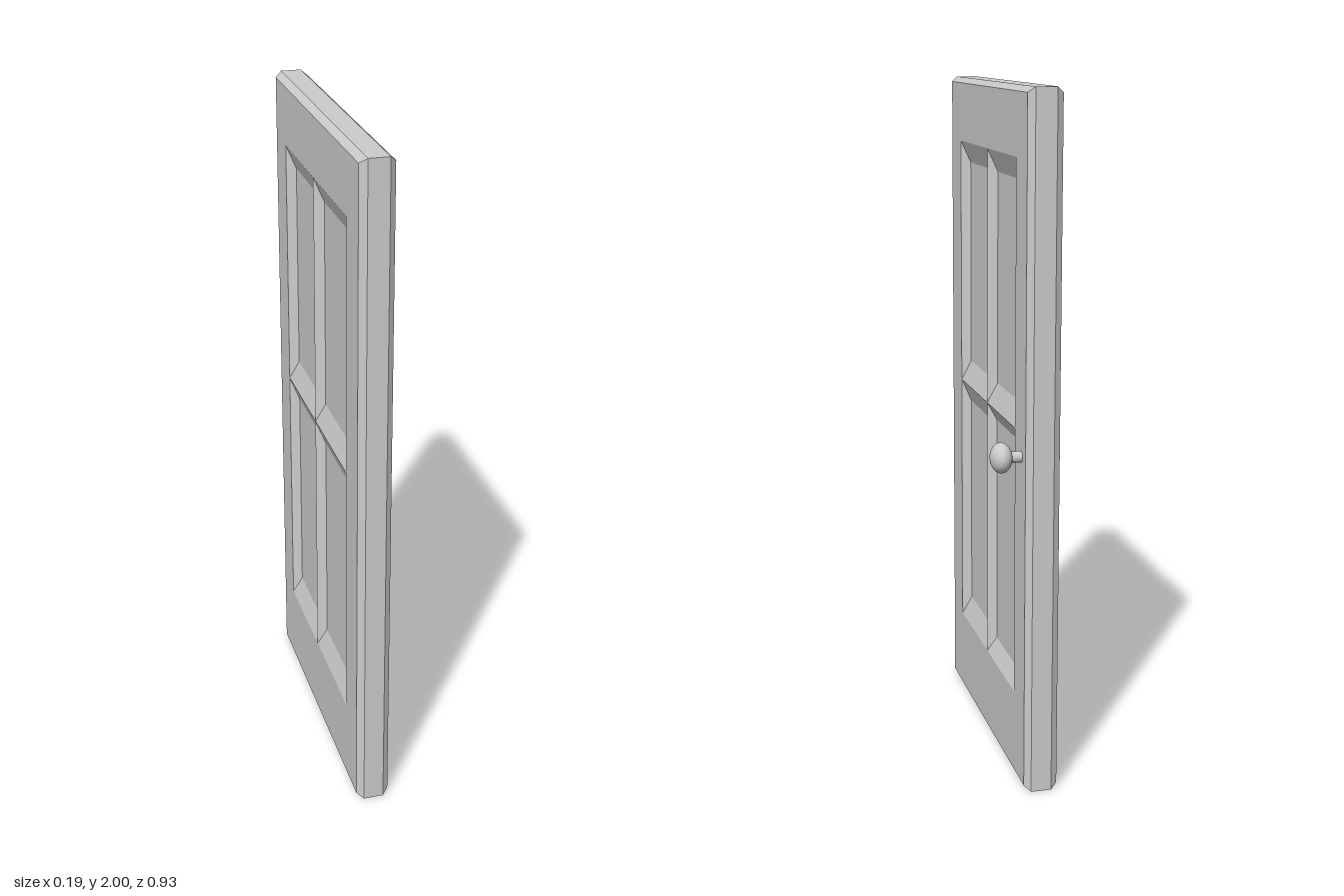
import * as THREE from 'three';

const rect = (x, z0, z1, y0, y1) => ({ x, z0, z1, y0, y1 });
const inset = (r, x, dz, dy) => rect(x, r.z0 + dz, r.z1 - dz, r.y0 + dy, r.y1 - dy);

// Corners run counter-clockwise as seen from +x.
const corners = (r) => [
  [r.x, r.y0, r.z1], [r.x, r.y0, r.z0], [r.x, r.y1, r.z0], [r.x, r.y1, r.z1],
];

export function createModel() {
  const group = new THREE.Group();
  const material = new THREE.MeshStandardMaterial({ color: 0xcccccc });
  const flat = new THREE.MeshStandardMaterial({ color: 0xcccccc, flatShading: true });

  const positions = [];
  const quad = (a, b, c, d) => positions.push(...a, ...b, ...c, ...a, ...c, ...d);
  const loft = (from, to) => {
    const a = corners(from), b = corners(to);
    for (let i = 0; i < 4; i++) {
      const j = (i + 1) % 4;
      quad(a[i], a[j], b[j], b[i]);
    }
  };

  // Slab cross-sections from the -x face to the +x face, with chamfered rims
  const xBack = -0.095, xFront = 0.003, depth = 0.025;
  const outline = rect(0, -0.464, 0.464, 0, 2);
  const sections = [
    inset(outline, xBack, 0.015, 0.015),
    inset(outline, -0.075, 0, 0),
    inset(outline, -0.015, 0, 0),
    inset(outline, xFront, 0.015, 0.015),
  ];
  for (let i = 0; i < 3; i++) loft(sections[i], sections[i + 1]);

  // Four sunken panels on each face, meeting in sharp ridges
  const zs = [-0.335, -0.01, 0.33], ys = [0.26, 1.055, 1.81];
  for (const side of [1, -1]) {
    const x = side > 0 ? xFront : xBack;
    const step = (outer, inner) => (side > 0 ? loft(outer, inner) : loft(inner, outer));
    step(side > 0 ? sections[3] : sections[0], rect(x, zs[0], zs[2], ys[0], ys[2]));
    for (let i = 0; i < 2; i++) {
      for (let j = 0; j < 2; j++) {
        const narrow = side > 0 && i === 0 && j === 0;
        const opening = rect(x, zs[i], zs[i + 1], ys[j], ys[j + 1]);
        const floor = inset(opening, x - side * depth, narrow ? 0.021 : 0.026, narrow ? 0.05 : 0.065);
        step(opening, floor);
        const c = corners(floor);
        quad(...(side > 0 ? c : c.reverse()));
      }
    }
  }
  const slab = new THREE.BufferGeometry();
  slab.setAttribute('position', new THREE.Float32BufferAttribute(positions, 3));
  slab.computeVertexNormals();
  const door = new THREE.Mesh(slab, flat);
  door.name = 'doorSlab';
  group.add(door);

  // Door knob on its short stem
  const handle = new THREE.Group();
  handle.name = 'doorHandle';
  handle.position.set(0, 0.99, -0.402);
  const stem = new THREE.Mesh(new THREE.CylinderGeometry(0.016, 0.016, 0.05, 24), material);
  stem.name = 'knobStem';
  stem.rotation.z = -Math.PI / 2;
  stem.position.x = 0.022;
  const knob = new THREE.Mesh(new THREE.SphereGeometry(1, 32, 20), material);
  knob.name = 'knob';
  knob.scale.set(0.031, 0.043, 0.043);
  knob.position.x = 0.061;
  handle.add(stem, knob);
  group.add(handle);

  return group;
}
